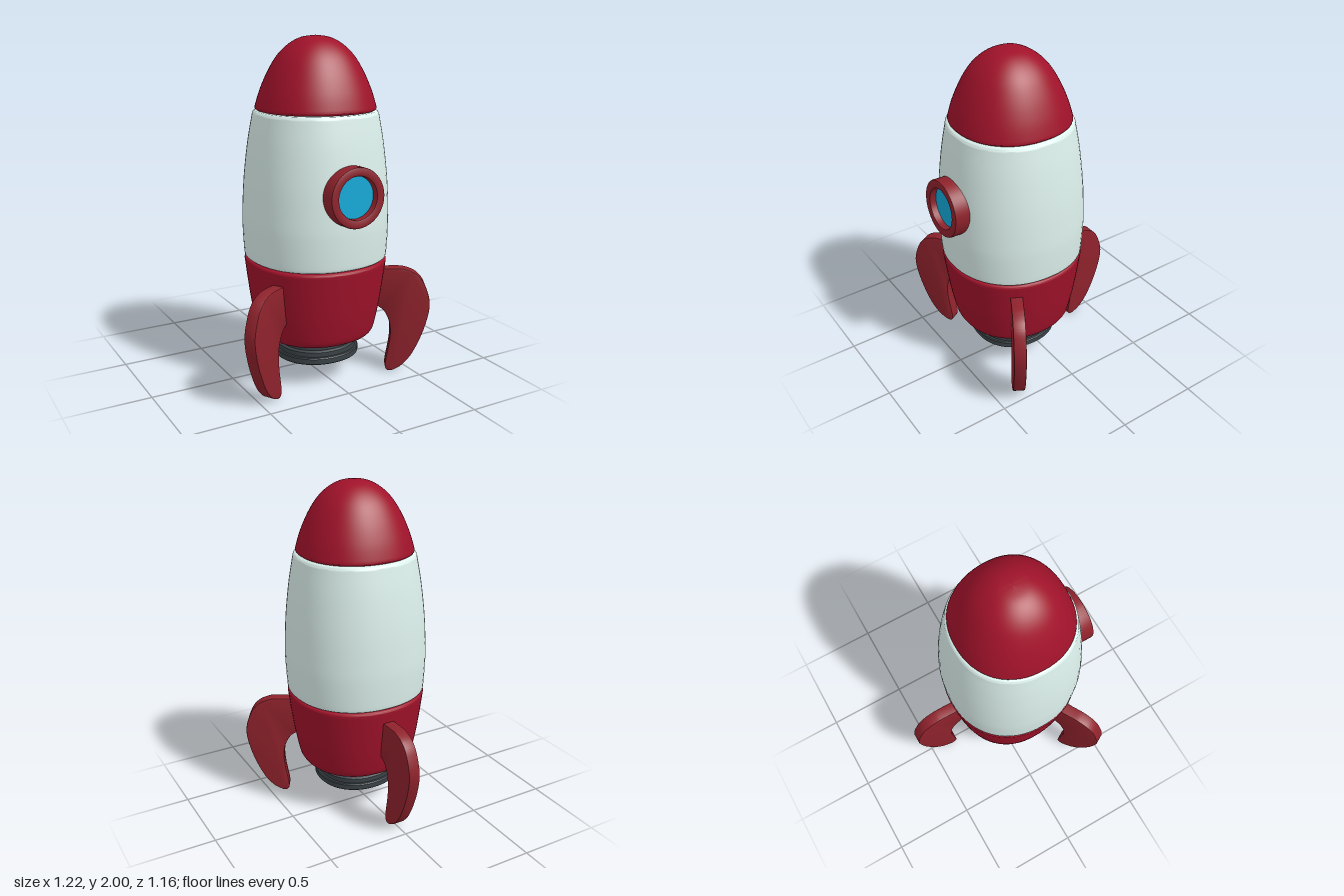
import * as THREE from 'three';
import { toCreasedNormals } from 'three/addons/utils/BufferGeometryUtils.js';

const mat = (color) => new THREE.MeshStandardMaterial({ color });
const red = mat(0xa0122a), finRed = mat(0x8f222c), white = mat(0xdcf0ec);
const dark = mat(0x3a4246), blue = mat(0x12a8d6);
const V = (list) => list.map(([x, y]) => new THREE.Vector2(x, y));

function mesh(name, geometry, material) {
  const m = new THREE.Mesh(geometry, material);
  m.name = name;
  return m;
}

// Lathe whose round section is swollen slightly towards a rounded square
function hullPart(name, points, material, crease = 0.7) {
  const geo = new THREE.LatheGeometry(V(points), 64);
  const p = geo.attributes.position, n = 2.18;
  for (let i = 0; i < p.count; i++) {
    const x = p.getX(i), z = p.getZ(i), r = Math.hypot(x, z);
    if (r < 1e-6) continue;
    const f = Math.pow(Math.abs(x / r) ** n + Math.abs(z / r) ** n, -1 / n);
    p.setX(i, x * f);
    p.setZ(i, z * f);
  }
  return mesh(name, toCreasedNormals(geo, crease), material);
}

// Smooth profile through a few points
const smooth = (points, count) =>
  new THREE.SplineCurve(V(points)).getPoints(count).map((v) => [Math.max(v.x, 0), v.y]);

function finGeometry() {
  const s = new THREE.Shape();
  s.moveTo(0.36, 0.65);
  s.lineTo(0.47, 0.652);
  s.splineThru(V([[0.53, 0.648], [0.6, 0.618], [0.65, 0.555], [0.685, 0.43], [0.658, 0.28],
    [0.594, 0.125], [0.53, 0.04], [0.47, 0.003]]));
  s.splineThru(V([[0.442, 0.004], [0.428, 0.025], [0.43, 0.07], [0.448, 0.18], [0.453, 0.26],
    [0.442, 0.33], [0.41, 0.39], [0.37, 0.42]]));
  s.lineTo(0.36, 0.65);
  const b = 0.006;
  const geo = new THREE.ExtrudeGeometry(s, {
    depth: 0.072 - 2 * b, curveSegments: 24,
    bevelEnabled: true, bevelThickness: b, bevelSize: b, bevelOffset: -b, bevelSegments: 2,
  });
  geo.translate(0, 0, -0.036 + b);
  return toCreasedNormals(geo, 0.6);
}

export function createModel() {
  const rocket = new THREE.Group();
  rocket.name = 'rocket';
  rocket.position.z = 0.105;

  // Hull, bottom to top
  rocket.add(hullPart('engineNozzle', [[0, 0.135], [0.248, 0.135], [0.253, 0.14], [0.253, 0.17],
    [0.248, 0.176], [0.238, 0.178], [0.238, 0.205], [0.232, 0.21], [0.222, 0.213], [0.222, 0.235],
    [0.212, 0.245], [0.212, 0.28]], dark, 0.5));
  rocket.add(hullPart('lowerHull', [[0, 0.26], [0.27, 0.261],
    ...smooth([[0.29, 0.263], [0.318, 0.272], [0.337, 0.292], [0.348, 0.325], [0.372, 0.45],
      [0.393, 0.6], [0.405, 0.7], [0.407, 0.718], [0.402, 0.73], [0.39, 0.735]], 36),
    [0, 0.735]], red));
  rocket.add(hullPart('body', [[0, 0.736], [0.385, 0.736],
    ...smooth([[0.39, 0.737], [0.402, 0.744], [0.408, 0.765], [0.415, 0.9], [0.415, 1.0],
      [0.404, 1.2], [0.381, 1.4], [0.355, 1.55], [0.349, 1.575], [0.338, 1.585]], 40),
    [0, 1.586]], white));
  rocket.add(hullPart('noseCone', [[0, 1.587], [0.32, 1.587],
    ...smooth([[0.328, 1.588], [0.336, 1.596], [0.334, 1.615], [0.308, 1.7], [0.265, 1.8],
      [0.212, 1.888], [0.15, 1.95], [0.08, 1.988], [0, 2.0]], 40)], red));

  // Porthole, leaning back slightly with the hull
  const porthole = new THREE.Group();
  porthole.name = 'porthole';
  const ring = new THREE.LatheGeometry(V([[0.118, -0.08], [0.16, -0.08], [0.168, -0.07],
    [0.168, 0.042], [0.165, 0.049], [0.158, 0.052], [0.128, 0.052], [0.121, 0.049],
    [0.118, 0.042], [0.118, -0.08]]), 48);
  ring.rotateX(Math.PI / 2);
  porthole.add(mesh('portholeFrame', toCreasedNormals(ring, 0.6), finRed));
  const glass = mesh('portholeGlass', new THREE.CircleGeometry(0.122, 48), blue);
  glass.position.z = 0.012;
  porthole.add(glass);
  porthole.position.set(0, 1.16, 0.417);
  porthole.rotation.x = -0.035;
  rocket.add(porthole);

  // Three fins, one at the back and two towards the front
  const finGeo = finGeometry();
  [['backFin', 90], ['leftFin', -30], ['rightFin', 210]].forEach(([name, deg]) => {
    const fin = mesh(name, finGeo, finRed);
    fin.rotation.y = THREE.MathUtils.degToRad(deg);
    rocket.add(fin);
  });

  const model = new THREE.Group();
  model.add(rocket);
  return model;
}
